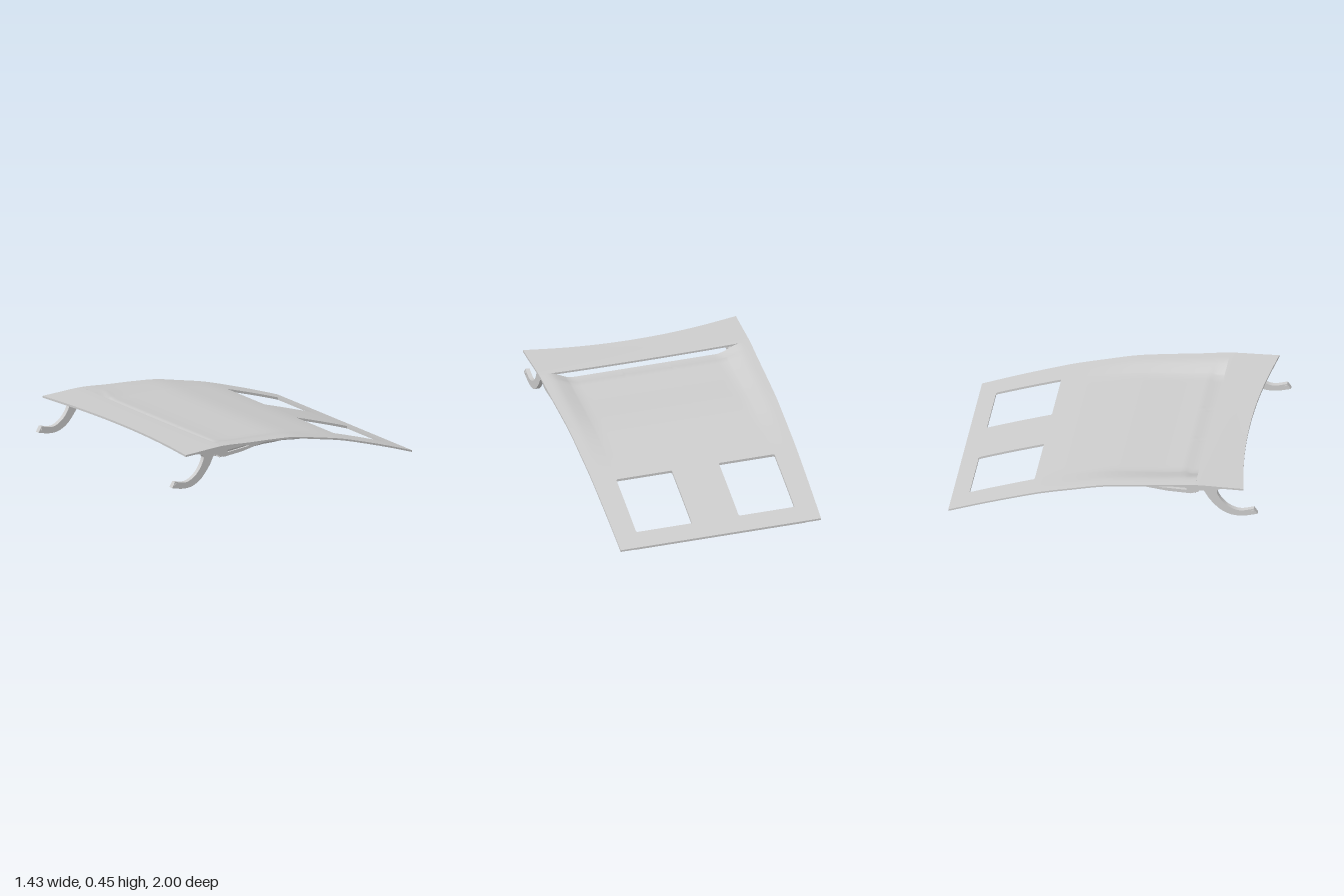
import * as THREE from 'three';
import { mergeVertices, mergeGeometries } from 'three/addons/utils/BufferGeometryUtils.js';

const material = new THREE.MeshStandardMaterial({ color: 0xcccccc, side: THREE.DoubleSide });
const { lerp, clamp, smoothstep } = THREE.MathUtils;

// Height of the panel's side edge, sampled every 0.2 from z = -1 to z = 1.
const edgeCurve = new THREE.CatmullRomCurve3(
  [0.012, 0.092, 0.167, 0.237, 0.293, 0.345, 0.376, 0.402, 0.43, 0.438, 0.445]
    .map((y, i) => new THREE.Vector3(-1 + i * 0.2, y, 0)));
const edgeY = z => edgeCurve.getPoint(clamp((z + 1) / 2, 0, 1)).y;

// Panel shape: hollowed towards the air slot, with a small step just before it.
const panelY = (u, z) => {
  const middle = 1 - smoothstep(Math.abs(u), 0.48, 0.645);
  const hollow = 0.036 * smoothstep(z, -0.5, 0.5) + 0.018 * smoothstep(z, 0.515, 0.545);
  return edgeY(z) - middle * hollow;
};
const flapY = (u, z) => edgeY(z) - 0.007 * (1 - (u / 0.7) ** 2);

// u follows x, except that the outer strip stretches to the tapering side edge.
const sideX = (u, z) => {
  const a = Math.abs(u);
  if (a <= 0.6) return u;
  return Math.sign(u) * lerp(0.6, 0.693 + 0.022 * z, (a - 0.6) / 0.1);
};
// The front edge of the flap is swept back at the centre.
const sweptZ = (u, z) => (z < 0.62 ? z : lerp(0.62, 0.845 + 0.07 * (u / 0.7) ** 2, (z - 0.62) / 0.28));

// Subdivides between fixed breaks so that openings stay crisp.
function steps(breaks, size) {
  const out = [breaks[0]];
  for (let k = 1; k < breaks.length; k++) {
    const n = Math.max(1, Math.round((breaks[k] - breaks[k - 1]) / size));
    for (let i = 1; i <= n; i++) out.push(lerp(breaks[k - 1], breaks[k], i / n));
  }
  return out;
}

// Curved sheet with thickness, openings and closed rims.
function sheet(us, zs, top, bottom, isHole = () => false) {
  const faces = { top: [], bottom: [], wall: [] };
  const point = (i, j, height) => {
    const u = us[i], z = sweptZ(u, zs[j]);
    return [sideX(u, z), height(u, z), z];
  };
  const quad = (list, a, b, c, d) => list.push(...a, ...b, ...c, ...a, ...c, ...d);
  const solid = (i, j) => i >= 0 && j >= 0 && i < us.length - 1 && j < zs.length - 1
    && !isHole((us[i] + us[i + 1]) / 2, (zs[j] + zs[j + 1]) / 2);
  for (let i = 0; i < us.length - 1; i++) for (let j = 0; j < zs.length - 1; j++) {
    if (!solid(i, j)) continue;
    const ring = [[i, j], [i, j + 1], [i + 1, j + 1], [i + 1, j]];
    const t = ring.map(([a, b]) => point(a, b, top));
    const b = ring.map(([p, q]) => point(p, q, bottom));
    quad(faces.top, ...t);
    quad(faces.bottom, b[0], b[3], b[2], b[1]);
    [[i - 1, j], [i, j + 1], [i + 1, j], [i, j - 1]].forEach(([p, q], k) => {
      const n = (k + 1) % 4;
      if (!solid(p, q)) quad(faces.wall, t[k], b[k], b[n], t[n]);
    });
  }
  return mergeGeometries(Object.values(faces).map(list => {
    let g = new THREE.BufferGeometry();
    g.setAttribute('position', new THREE.Float32BufferAttribute(list, 3));
    if (list !== faces.wall) g = mergeVertices(g, 1e-5);
    g.computeVertexNormals();
    return g.index ? g.toNonIndexed() : g;
  }));
}

// Side-profile plate: the shape is drawn in (z, y) and extruded across x.
function plate(shape, width) {
  const g = new THREE.ExtrudeGeometry(shape, { depth: width, bevelEnabled: false, curveSegments: 14 });
  return g.rotateY(-Math.PI / 2).translate(width / 2, 0, 0);
}
const vec = list => list.map(([a, b]) => new THREE.Vector2(a, b));

export function createModel() {
  const model = new THREE.Group();
  const add = (name, geometry, parent = model) => {
    const mesh = new THREE.Mesh(geometry, material);
    mesh.name = name;
    parent.add(mesh);
    return mesh;
  };

  // Outer panel with two rounded window openings
  const w = { x0: 0.157, x1: 0.53, z0: -0.885, z1: -0.465, r: 0.012 };
  const isWindow = (u, z) => {
    const a = Math.abs(u);
    if (a < w.x0 || a > w.x1 || z < w.z0 || z > w.z1) return false;
    const dx = Math.max(w.x0 + w.r - a, a - w.x1 + w.r, 0);
    const dz = Math.max(w.z0 + w.r - z, z - w.z1 + w.r, 0);
    return Math.hypot(dx, dz) < w.r;
  };
  const half = [w.x0, w.x0 + 0.004, w.x0 + w.r, w.x1 - w.r, w.x1 - 0.004, w.x1];
  const mirror = list => [...list.map(x => -x).reverse(), ...list];
  const winZ = [w.z0, w.z0 + 0.004, w.z0 + w.r, w.z1 - w.r, w.z1 - 0.004, w.z1];
  const us = steps(mirror([...half, 0.6, 0.65, 0.7]), 0.03);
  add('outerPanel', sheet(us, steps([-1, ...winZ, 0.515, 0.545, 0.6], 0.04),
    panelY, (u, z) => panelY(u, z) - 0.012, isWindow));

  // Raised front flap above the air slot
  add('frontFlap', sheet(steps([-0.7, -0.6, 0.6, 0.7], 0.03), steps([0.6, 0.62, 0.88, 0.9], 0.035),
    flapY, (u, z) => flapY(u, z) - 0.013));

  // Rear inner frame around the windows, with a shallow rib between them
  const rib = (u, z) => 0.012 * (1 - smoothstep(Math.abs(u), 0.08, 0.145)) * smoothstep(z, -0.9, -0.5);
  add('rearInnerFrame', sheet(steps(mirror([...half, 0.57]), 0.03), steps([-0.998, ...winZ, -0.4], 0.04),
    (u, z) => panelY(u, z) - 0.011, (u, z) => panelY(u, z) - 0.016 - rib(u, z), isWindow));

  // Inner liner: a shallow tray with rounded corners below the panel
  const floorY = z => (z > 0 ? lerp(0.28, 0.335, z / 0.6) : lerp(0.28, 0.203, -z / 0.4));
  const linerY = (u, z) => {
    const halfW = lerp(0.56, 0.645, (z + 0.42) / 1.02), halfL = 0.51, r = 0.09;
    const qx = Math.abs(u) - halfW + r, qz = Math.abs(z - 0.09) - halfL + r;
    const d = r - Math.hypot(Math.max(qx, 0), Math.max(qz, 0)) - Math.min(Math.max(qx, qz), 0);
    const under = panelY(u, z) - 0.011;
    return lerp(under, Math.min(floorY(z), under - 0.004), smoothstep(d, 0, 0.045));
  };
  add('innerLiner', sheet(steps([-0.65, -0.48, 0.48, 0.65], 0.015), steps([-0.42, -0.36, 0.52, 0.6], 0.015),
    (u, z) => panelY(u, z) - 0.009, linerY));

  // Front cross rail closing the liner, with small clips
  add('crossRail', sheet(steps([-0.62, 0.62], 0.03), [0.585, 0.6],
    (u, z) => panelY(u, z) - 0.008, () => 0.335));
  for (const x of [-0.5, -0.36, 0.36, 0.5]) {
    add('railClip', new THREE.BoxGeometry(0.075, 0.024, 0.012).translate(x, 0.353, 0.604));
  }

  // Gooseneck hinges and their side brackets
  const arm = new THREE.Shape();
  arm.moveTo(0.6, 0.405);
  arm.splineThru(vec([[0.65, 0.375], [0.69, 0.31], [0.755, 0.24], [0.815, 0.208], [0.87, 0.2], [0.93, 0.207]]));
  arm.lineTo(1, 0.228);
  arm.lineTo(0.975, 0.265);
  arm.splineThru(vec([[0.9, 0.243], [0.85, 0.248], [0.8, 0.275], [0.76, 0.32], [0.737, 0.37], [0.745, 0.39]]));
  arm.lineTo(0.79, 0.418);
  arm.lineTo(0.6, 0.418);
  const bracket = new THREE.Shape(vec([[0.64, 0.415], [0.62, 0.36], [0.57, 0.34], [0.42, 0.342],
    [0.3, 0.355], [0.2, 0.366], [0.25, 0.374], [0.45, 0.4]]));
  const opening = new THREE.Path(vec([[0.54, 0.38], [0.4, 0.378], [0.36, 0.366], [0.54, 0.364]]));
  bracket.holes.push(opening);
  const gusset = new THREE.Shape(vec([[0.58, 0.42], [0.62, 0.375], [0.68, 0.385], [0.86, 0.432], [0.7, 0.43]]));
  for (const side of [1, -1]) {
    const hinge = new THREE.Group();
    hinge.name = side > 0 ? 'leftHinge' : 'rightHinge';
    hinge.position.x = side * 0.665;
    model.add(hinge);
    add('hingeArm', plate(arm, 0.028), hinge);
    add('hingeBracket', plate(bracket, 0.012), hinge).position.x = side * 0.008;
    add('bracketFoot', new THREE.BoxGeometry(0.035, 0.006, 0.2), hinge).position.set(-side * 0.012, 0.344, 0.5);
    add('mountingPlate', new THREE.BoxGeometry(0.05, 0.01, 0.2), hinge).position.set(0, 0.418, 0.7);
    add('flapGusset', plate(gusset, 0.006), hinge).position.x = side * 0.022;
    add('pivotPin', new THREE.CylinderGeometry(0.012, 0.012, 0.036, 14).rotateZ(Math.PI / 2), hinge)
      .position.set(0, 0.24, 0.97);
  }
  return model;
}
